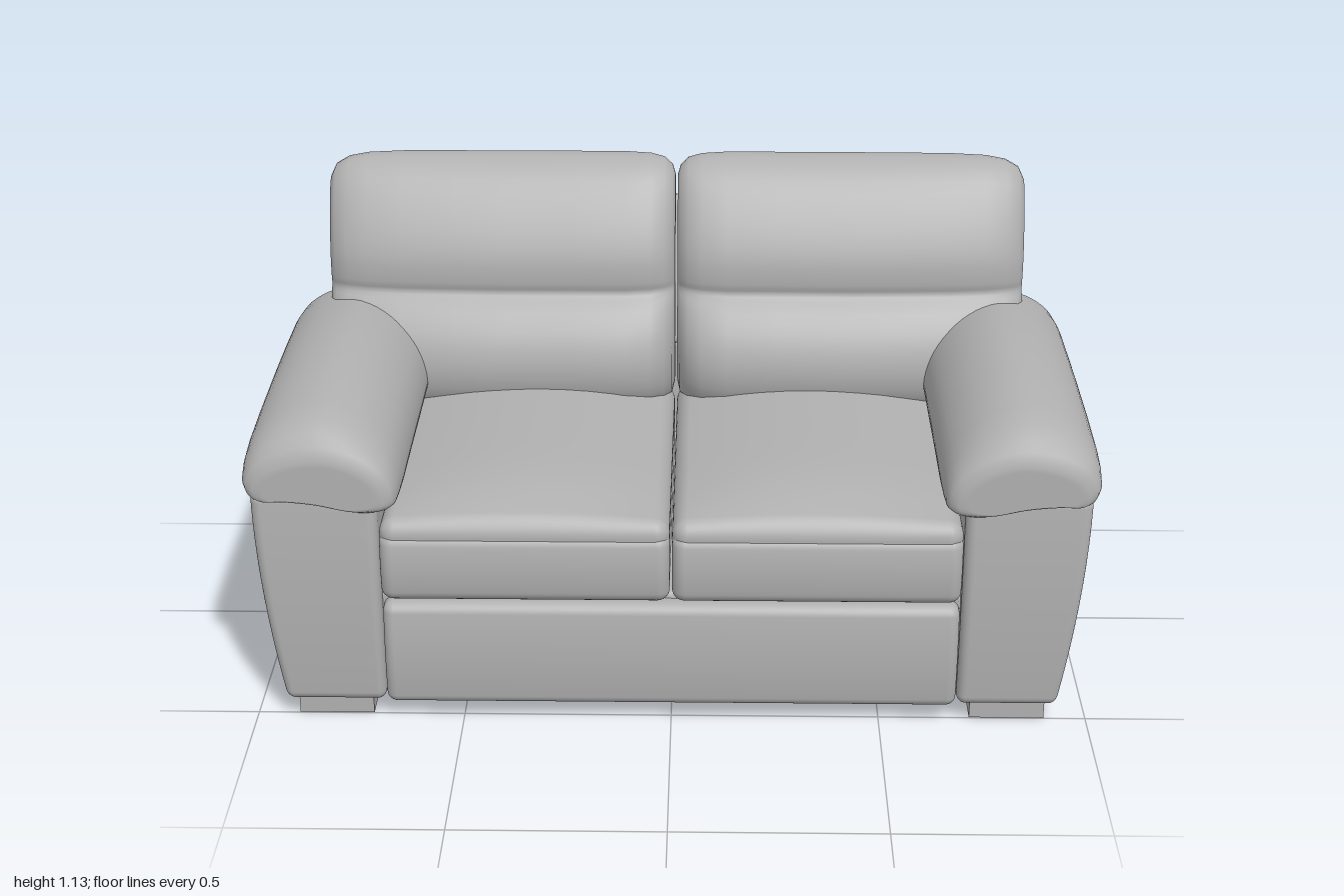
import * as THREE from 'three';
import { mergeVertices } from 'three/addons/utils/BufferGeometryUtils.js';

const upholstery = new THREE.MeshStandardMaterial({ color: 0xb0b0b0 });
upholstery.name = 'grey upholstery';

function addMesh(parent, name, geometry) {
  const mesh = new THREE.Mesh(geometry, upholstery);
  mesh.name = name;
  parent.add(mesh);
  return mesh;
}

// Rounded box between two corners, with an optional rule that moves each vertex.
function softBox(min, max, r, warp) {
  const lo = new THREE.Vector3(...min), hi = new THREE.Vector3(...max);
  const half = hi.clone().sub(lo).multiplyScalar(0.5);
  const mid = hi.clone().add(lo).multiplyScalar(0.5);
  const edge = 4, flat = 10, n = edge * 2 + flat;
  let g = new THREE.BoxGeometry(2, 2, 2, n, n, n);
  g.deleteAttribute('uv');
  g.deleteAttribute('normal');
  g = mergeVertices(g, 1e-4);
  const pos = g.attributes.position, p = new THREE.Vector3(), core = new THREE.Vector3();
  // Crowd the grid lines into the rounded edges.
  const spread = (t, h) => {
    const i = Math.abs(t) * n / 2, f = flat / 2;
    const d = i <= f ? (h - r) * i / f : h - r + r * Math.tan((i - f) / edge * Math.PI / 4);
    return Math.sign(t) * d;
  };
  for (let i = 0; i < pos.count; i++) {
    p.fromBufferAttribute(pos, i);
    p.set(spread(p.x, half.x), spread(p.y, half.y), spread(p.z, half.z));
    core.set(
      THREE.MathUtils.clamp(p.x, r - half.x, half.x - r),
      THREE.MathUtils.clamp(p.y, r - half.y, half.y - r),
      THREE.MathUtils.clamp(p.z, r - half.z, half.z - r));
    p.sub(core).setLength(r).add(core);
    const u = p.clone().divide(half);
    p.add(mid);
    if (warp) warp(p, u);
    pos.setXYZ(i, p.x, p.y, p.z);
  }
  g.computeVertexNormals();
  return g;
}

// Closed smooth profile swept through stations [position, scaleA, scaleB, shiftB];
// place(a, b, position) returns the final point.
function loft(profile, centre, stations, place) {
  const curve = new THREE.CatmullRomCurve3(
    profile.map(([a, b]) => new THREE.Vector3(a, b, 0)), true, 'centripetal');
  const n = 56, ring = curve.getPoints(n).slice(0, n);
  const first = stations[0], last = stations[stations.length - 1];
  const shrink = (s, k) => [s[0], s[1] * k, s[2] * k, s[3]];
  const rows = [shrink(first, 0), shrink(first, 0.85), ...stations, shrink(last, 0.85), shrink(last, 0)];
  const verts = [], idx = [];
  for (const [t, sa, sb, shift = 0] of rows) {
    for (const q of ring) {
      verts.push(...place(centre[0] + (q.x - centre[0]) * sa, centre[1] + (q.y - centre[1]) * sb + shift, t));
    }
  }
  for (let i = 0; i < rows.length - 1; i++) {
    for (let j = 0; j < n; j++) {
      const a = i * n + j, b = i * n + (j + 1) % n;
      idx.push(a, b, b + n, a, b + n, a + n);
    }
  }
  // Turn the faces outward whichever way the sweep runs.
  const at = k => new THREE.Vector3().fromArray(verts, idx[k] * 3);
  let volume = 0;
  for (let k = 0; k < idx.length; k += 3) volume += at(k).dot(at(k + 1).cross(at(k + 2)));
  if (volume < 0) idx.reverse();
  const g = new THREE.BufferGeometry();
  g.setAttribute('position', new THREE.Float32BufferAttribute(verts, 3));
  g.setIndex(idx);
  g.computeVertexNormals();
  return g;
}

// Arm pad outline (x, y)
const padProfile = [
  [0.98, 0.605], [1.0, 0.65], [0.975, 0.725], [0.91, 0.778], [0.81, 0.8], [0.72, 0.765],
  [0.655, 0.695], [0.632, 0.62], [0.64, 0.575], [0.71, 0.555], [0.83, 0.59], [0.92, 0.603],
];
const padStations = [
  [-0.386, 0.88, 0.74, -0.01], [-0.378, 0.94, 0.84, -0.005], [-0.355, 0.98, 0.9, -0.005], [-0.28, 1, 0.93],
  [-0.1, 1, 0.99], [0.06, 1, 1], [0.25, 1, 0.97], [0.4, 1, 0.92, -0.003], [0.47, 0.99, 0.87, -0.006],
  [0.515, 0.97, 0.78, -0.012], [0.535, 0.92, 0.68, -0.016], [0.545, 0.82, 0.52, -0.02],
];

// Back cushion outline (z, y), with a crease above the lumbar roll
const cushionProfile = [
  [-0.39, 1.13], [-0.32, 1.1], [-0.25, 1.01], [-0.205, 0.91], [-0.2, 0.84], [-0.205, 0.815], [-0.17, 0.78],
  [-0.125, 0.71], [-0.108, 0.63], [-0.13, 0.55], [-0.2, 0.5], [-0.36, 0.52], [-0.385, 0.66],
  [-0.4, 0.76], [-0.455, 0.89], [-0.485, 1.02], [-0.455, 1.105],
];
const cushionStations = [
  [0.003, 0.55, 0.84], [0.01, 0.7, 0.91], [0.03, 0.84, 0.965], [0.065, 0.94, 0.99], [0.13, 1, 1],
  [0.25, 1, 1], [0.45, 1, 1], [0.57, 0.98, 1], [0.7, 0.94, 1], [0.79, 0.87, 0.99], [0.84, 0.78, 0.965],
  [0.873, 0.66, 0.91], [0.887, 0.48, 0.82],
];

function createModel() {
  const sofa = new THREE.Group();
  sofa.name = 'sofa';

  // Base frame and front rail
  addMesh(sofa, 'baseFrame', softBox([-0.7, 0.055, -0.45], [0.7, 0.34, 0.5], 0.02));
  addMesh(sofa, 'frontRail', softBox([-0.682, 0.05, 0.4], [0.682, 0.322, 0.54], 0.025,
    (p, u) => { if (u.z > 0) p.z += 0.012 * (1 - u.y * u.y); }));

  // Gently rippled lower back
  const ripple = new THREE.CatmullRomCurve3([[0.05, -0.5], [0.18, -0.494], [0.3, -0.49], [0.43, -0.506],
    [0.52, -0.49], [0.61, -0.46]].map(([y, z]) => new THREE.Vector3(0, y, z)));
  addMesh(sofa, 'lowerBackPanel', softBox([-0.86, 0.055, -0.5], [0.86, 0.605, -0.4], 0.015, (p, u) => {
    if (u.z < 0) p.z += ripple.getPoint((u.y + 1) / 2).z + 0.5;
  }));

  // Leaning upper back
  addMesh(sofa, 'upperBackPanel', softBox([-0.88, 0.6, -0.45], [0.88, 0.968, -0.382], 0.022, (p, u) => {
    const t = (u.y + 1) / 2;
    p.z -= 0.117 * t;
    p.y += 0.008 * u.z * t;
  }));

  for (const side of [1, -1]) {
    const half = new THREE.Group();
    half.name = side > 0 ? 'leftHalf' : 'rightHalf';
    sofa.add(half);
    const span = (a, b) => side > 0 ? [a, b] : [-b, -a];

    // Arm base, tapering towards the floor on the outside
    const [ax0, ax1] = span(0.685, 0.98);
    addMesh(half, 'armBase', softBox([ax0, 0.05, -0.457], [ax1, 0.605, 0.53], 0.025, (p, u) => {
      const t = (1 - u.y) / 2, outer = (u.x * side + 1) / 2;
      p.x -= side * 0.055 * outer * t ** 1.7;
      if (u.z > 0) p.z += 0.012 * (1 - u.y * u.y) * u.z;
    }));
    addMesh(half, 'armPad', loft(padProfile, [0.82, 0.62], padStations, (x, y, z) => [x * side, y, z]));

    // Seat cushion: boxed border with a crowned top
    const [sx0, sx1] = span(0.003, 0.682);
    addMesh(half, 'seatBorder', softBox([sx0, 0.332, -0.28], [sx1, 0.512, 0.55], 0.03,
      (p, u) => { if (u.z > 0) p.z += 0.012 * (1 - u.y * u.y) * u.z; }));
    addMesh(half, 'seatTop', softBox([sx0, 0.46, -0.28], [sx1, 0.54, 0.55], 0.035, (p, u) => {
      if (u.y > 0) p.y += 0.05 * u.y * (1 - u.x * u.x) * (1 - Math.max(u.z, 0) ** 4);
    }));

    addMesh(half, 'backCushion', loft(cushionProfile, [-0.36, 0.8], cushionStations,
      (z, y, x) => [x * side, y, z]));

    // Feet
    for (const [name, z] of [['frontFoot', 0.42], ['rearFoot', -0.38]]) {
      const foot = addMesh(half, name, new THREE.BoxGeometry(0.18, 0.055, 0.155));
      foot.position.set(side * 0.81, 0.0275, z);
    }
  }
  return sofa;
}

export { createModel };
